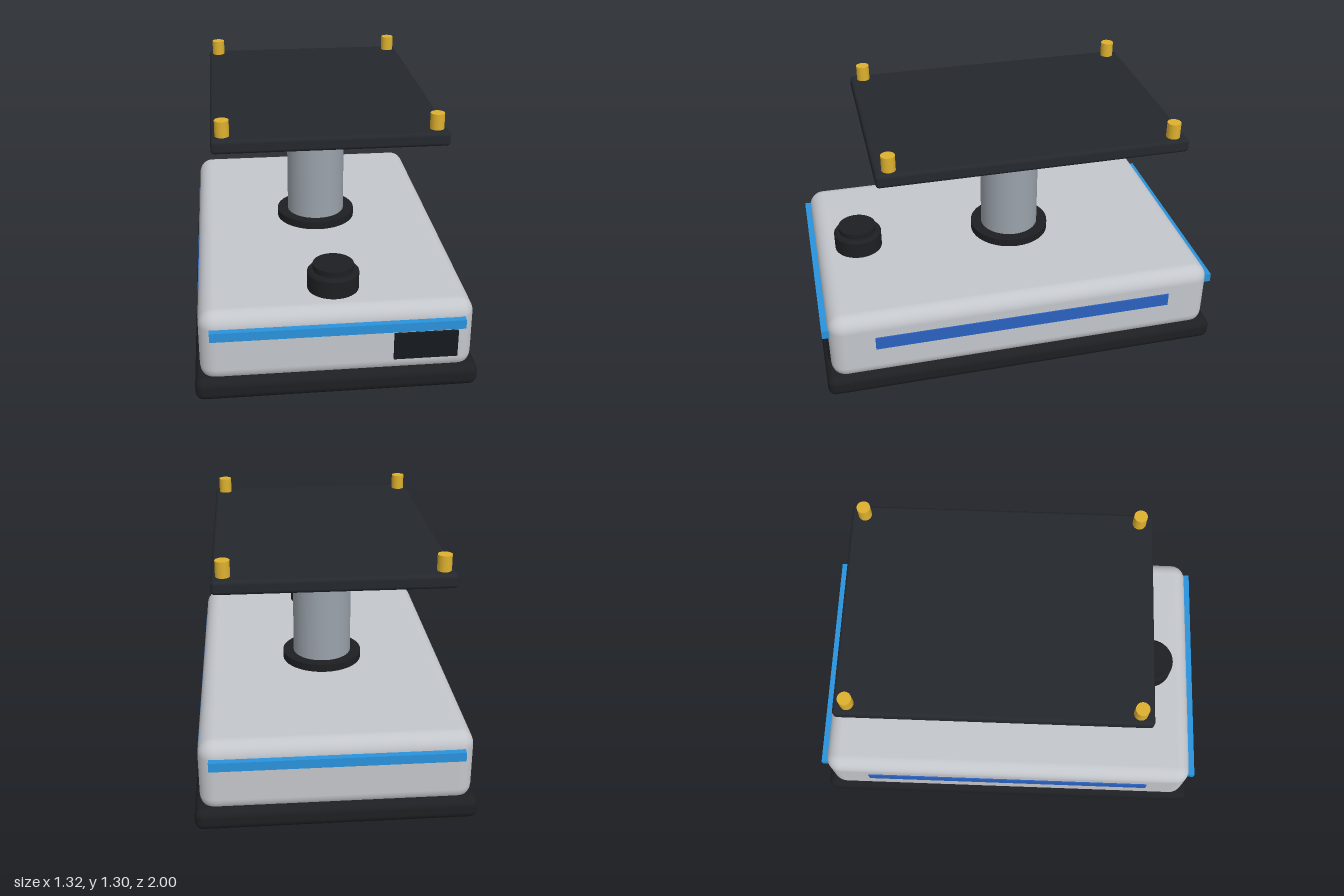
import * as THREE from 'three';
import { RoundedBoxGeometry } from 'three/addons/geometries/RoundedBoxGeometry.js';

const mat = (color) => new THREE.MeshStandardMaterial({ color });
const shell = mat(0xc3c6cb), black = mat(0x1d1f22), dark = mat(0x24282d), steel = mat(0x9aa2aa);
const screen = mat(0x151a20), sky = mat(0x2a93dc), blue = mat(0x2a62c0), brass = mat(0xddb02e);

export function createModel() {
  const model = new THREE.Group();
  const add = (name, geometry, material, x, y, z) => {
    const mesh = new THREE.Mesh(geometry, material);
    mesh.name = name;
    mesh.position.set(x, y, z);
    model.add(mesh);
    return mesh;
  };
  // boxes and upright cylinders given by their bottom height
  const box = (name, m, w, h, d, x, y, z) =>
    add(name, new THREE.BoxGeometry(w, h, d), m, x, y + h / 2, z);
  const rounded = (name, m, w, h, d, r, x, y, z) =>
    add(name, new RoundedBoxGeometry(w, h, d, 4, r), m, x, y + h / 2, z);
  const cylinder = (name, m, r, h, x, y, z, sides = 40) =>
    add(name, new THREE.CylinderGeometry(r, r, h, sides), m, x, y + h / 2, z);

  // chassis: dark bumper base under a rounded shell
  rounded('base', black, 1.32, 0.11, 2, 0.04, 0, 0.07, 0);
  rounded('body', shell, 1.27, 0.36, 1.94, 0.075, 0, 0.145, 0);

  // wheels under the four corners
  for (const x of [-0.52, 0.52]) for (const z of [-0.68, 0.68]) {
    const wheel = cylinder('wheel', black, 0.075, 0.052, x, 0.049, z, 32);
    wheel.rotation.z = Math.PI / 2;
  }

  // light strips on all four sides
  for (const s of [-1, 1]) {
    box('endLight', sky, 1.17, 0.045, 0.04, 0, 0.39, s * 0.98);
    box('sideLight', blue, 0.02, 0.068, 1.5, s * 0.631, 0.322, 0);
  }

  // front display
  box('display', screen, 0.298, 0.135, 0.02, 0.407, 0.234, 0.973);

  // scanner turret
  const turret = [[0, 0], [0.122, 0], [0.122, 0.085], [0.112, 0.097], [0.096, 0.097], [0.096, 0.125], [0, 0.125]]
    .map(([r, y]) => new THREE.Vector2(r, y));
  // separate segments keep the turret's edges sharp
  for (let i = 0; i < turret.length - 1; i++)
    add('scanner', new THREE.LatheGeometry([turret[i], turret[i + 1]], 40), black, 0, 0.505, 0.75);

  // lift column with its flange
  cylinder('columnFlange', black, 0.205, 0.042, 0, 0.503, -0.065);
  cylinder('column', steel, 0.15, 0.64, 0, 0.505, -0.065);

  // carrying plate with corner pins
  rounded('plate', dark, 1.086, 0.067, 1.494, 0.018, 0, 1.16, -0.065);
  for (const x of [-0.49, 0.49]) for (const z of [-0.68, 0.68])
    cylinder('pin', brass, 0.033, 0.08, x, 1.222, z - 0.065, 24);

  return model;
}
